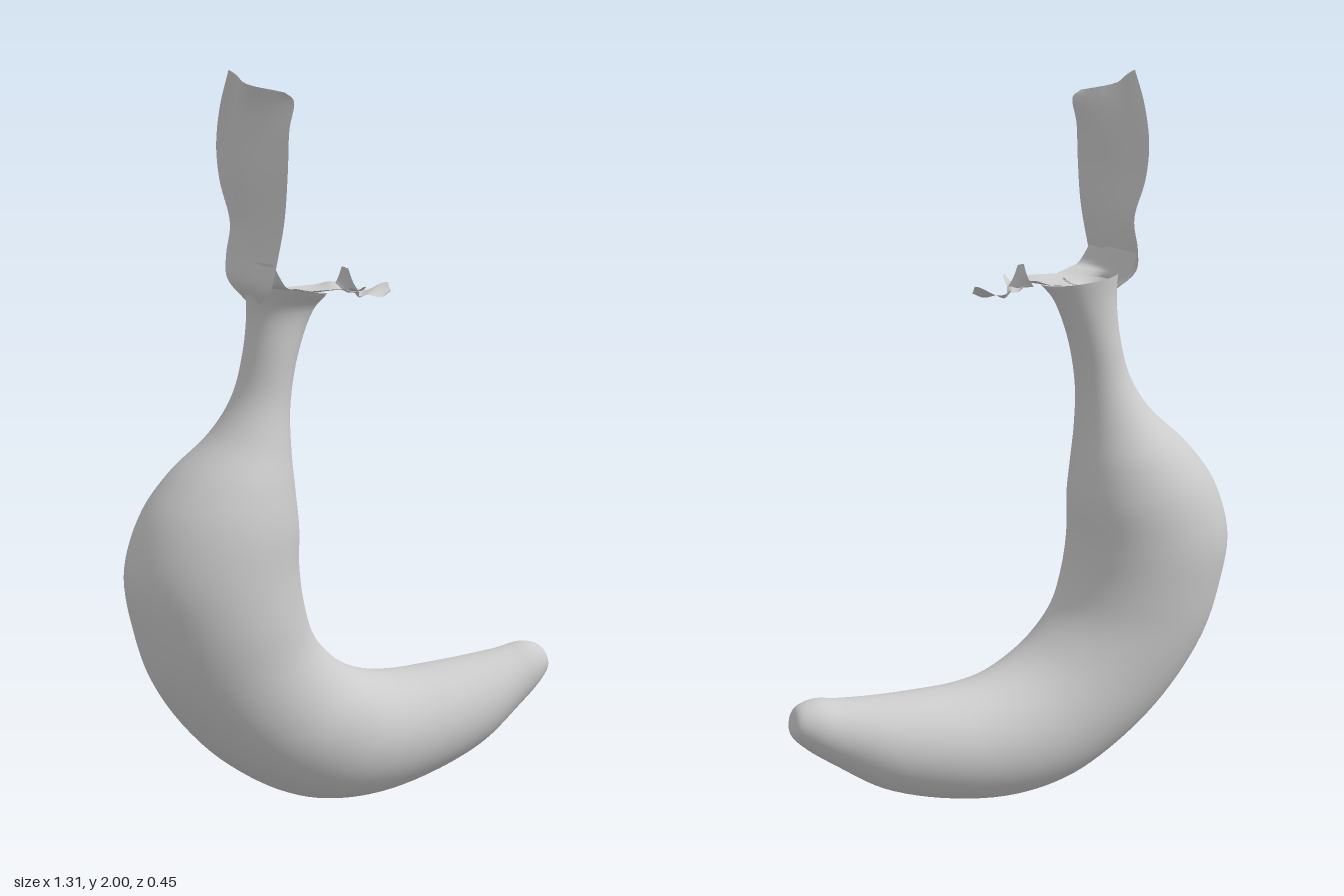
import * as THREE from 'three';

const material = new THREE.MeshStandardMaterial({ color: 0xcccccc });
const sheetMaterial = new THREE.MeshStandardMaterial({ color: 0xcccccc, side: THREE.DoubleSide });
const spline = (points) => new THREE.CatmullRomCurve3(points.map((p) => new THREE.Vector3(...p)));

// Grid of points (u along, v across); closed wraps v.
function grid(name, nu, nv, closed, pointAt, mat) {
  const positions = [], index = [];
  const cols = closed ? nv : nv + 1;
  for (let i = 0; i <= nu; i++) {
    for (let j = 0; j < cols; j++) positions.push(...pointAt(i / nu, j / nv).toArray());
  }
  for (let i = 0; i < nu; i++) {
    for (let j = 0; j < nv; j++) {
      const k = (j + 1) % cols;
      const a = i * cols + j, b = a + cols, c = i * cols + k, d = c + cols;
      index.push(a, b, c, b, d, c);
    }
  }
  const geometry = new THREE.BufferGeometry();
  geometry.setAttribute('position', new THREE.Float32BufferAttribute(positions, 3));
  geometry.setIndex(index);
  geometry.computeVertexNormals();
  const mesh = new THREE.Mesh(geometry, mat);
  mesh.name = name;
  return mesh;
}

// Oval cross-sections: [outer x, outer y, inner x, inner y, back z, front z].
function loft(name, sections, steps, mat) {
  const outer = spline(sections.map((s) => [s[0], s[1], s[5]]));
  const inner = spline(sections.map((s) => [s[2], s[3], s[4]]));
  return grid(name, steps, 48, true, (u, v) => {
    const o = outer.getPoint(u), n = inner.getPoint(u), angle = v * Math.PI * 2;
    const c = Math.cos(angle) / 2, s = Math.sin(angle) / 2;
    return new THREE.Vector3(
      (o.x + n.x) / 2 + (o.x - n.x) * c,
      (o.y + n.y) / 2 + (o.y - n.y) * c,
      (o.z + n.z) / 2 + (o.z - n.z) * s);
  }, mat);
}

// Thin torn skin between two edge paths, bowed and crinkled along y or x.
function sheet(name, edgeA, edgeB, bend, nu = 36, nv = 12) {
  const a = spline(edgeA), b = spline(edgeB);
  return grid(name, nu, nv, false, (u, v) => {
    const p = a.getPoint(u).lerp(b.getPoint(u), v);
    return bend(p, u, v);
  }, sheetMaterial);
}

export function createModel() {
  const model = new THREE.Group();
  model.name = 'peeledFruit';

  // Curved body from the flared neck down to the blunt tip
  model.add(loft('body', [
    [-0.33, 1.46, -0.11, 1.43, -0.055, 0.14],
    [-0.32, 1.39, -0.14, 1.39, -0.05, 0.105],
    [-0.33, 1.28, -0.185, 1.28, -0.05, 0.10],
    [-0.36, 1.17, -0.21, 1.14, -0.06, 0.105],
    [-0.42, 1.075, -0.21, 1.02, -0.10, 0.135],
    [-0.53, 0.97, -0.20, 0.92, -0.165, 0.18],
    [-0.61, 0.86, -0.19, 0.82, -0.205, 0.21],
    [-0.655, 0.71, -0.19, 0.71, -0.22, 0.222],
    [-0.635, 0.56, -0.175, 0.60, -0.215, 0.222],
    [-0.585, 0.41, -0.14, 0.505, -0.205, 0.21],
    [-0.465, 0.24, -0.07, 0.425, -0.195, 0.20],
    [-0.31, 0.11, 0.0, 0.38, -0.19, 0.19],
    [-0.15, 0.03, 0.08, 0.352, -0.187, 0.17],
    [0.03, 0.003, 0.17, 0.34, -0.18, 0.155],
    [0.22, 0.027, 0.28, 0.34, -0.165, 0.14],
    [0.40, 0.085, 0.40, 0.345, -0.135, 0.115],
    [0.53, 0.17, 0.51, 0.355, -0.095, 0.085],
    [0.615, 0.235, 0.58, 0.365, -0.07, 0.065],
    [0.65, 0.275, 0.63, 0.35, -0.04, 0.04],
    [0.648, 0.312, 0.648, 0.312, 0, 0],
  ], 110, material));

  // Sunken mouth inside the collar
  model.add(loft('neckMouth', [
    [-0.25, 1.405, -0.25, 1.405, 0.015, 0.015],
    [-0.295, 1.405, -0.205, 1.405, -0.035, 0.065],
    [-0.305, 1.425, -0.19, 1.42, -0.045, 0.085],
    [-0.33, 1.46, -0.11, 1.43, -0.055, 0.14],
  ], 18, sheetMaterial));

  // Tall skin flap standing on the outer side of the collar
  model.add(sheet('uprightFlap', [
    [-0.31, 1.41, 0.07], [-0.335, 1.46, 0.19], [-0.32, 1.53, 0.195], [-0.31, 1.63, 0.215],
    [-0.305, 1.75, 0.225], [-0.295, 1.85, 0.215], [-0.285, 1.92, 0.22], [-0.30, 1.94, 0.20],
  ], [
    [-0.31, 1.41, 0.0], [-0.335, 1.47, -0.07], [-0.325, 1.53, -0.095], [-0.315, 1.61, -0.09],
    [-0.325, 1.72, -0.13], [-0.33, 1.81, -0.137], [-0.335, 1.91, -0.10], [-0.337, 2.0, -0.04],
  ], (p, u, v) => {
    p.x += 0.016 * Math.sin(v * 7 + 0.4) * Math.sin(Math.PI * v) * u;
    p.y -= 0.012 * Math.sin(Math.PI * v) * u * u;
    return p;
  }));

  // Rolled lip where the flap leaves the collar
  model.add(sheet('flapLip', [
    [-0.325, 1.52, 0.18], [-0.30, 1.465, 0.20], [-0.25, 1.455, 0.165], [-0.2, 1.445, 0.14],
  ], [
    [-0.325, 1.52, -0.09], [-0.315, 1.47, -0.08], [-0.31, 1.445, -0.05], [-0.30, 1.43, -0.03],
  ], (p, u, v) => {
    p.x -= 0.05 * u * u * Math.sin(Math.PI * v);
    return p;
  }, 12, 12));

  // Ragged strip lying out over the inner side
  model.add(sheet('raggedStrip', [
    [-0.21, 1.435, -0.048], [-0.15, 1.44, -0.053], [-0.09, 1.445, -0.05], [-0.05, 1.45, -0.01],
    [-0.02, 1.43, -0.005], [0.01, 1.425, -0.01], [0.04, 1.43, -0.05], [0.07, 1.43, -0.025],
    [0.11, 1.44, 0.0],
  ], [
    [-0.22, 1.445, 0.14], [-0.15, 1.445, 0.135], [-0.09, 1.445, 0.13], [-0.05, 1.44, 0.075],
    [-0.015, 1.43, 0.06], [0.01, 1.415, 0.025], [0.04, 1.41, 0.022], [0.07, 1.415, 0.035],
    [0.105, 1.425, 0.04],
  ], (p, u, v) => {
    // Dips into the mouth at its root, crinkles outward
    p.y += 0.007 * Math.sin(u * 21 + v * 5) * u - 0.012 * (1 - u) * Math.sin(Math.PI * v);
    p.x += u < 0.01 ? 0.05 * Math.sin(Math.PI * v) : 0;
    return p;
  }, 40, 8));

  // Small curled shreds at the narrow part of the strip
  model.add(sheet('tornShred', [
    [-0.06, 1.435, 0.06], [-0.045, 1.435, 0.10], [-0.042, 1.45, 0.14],
  ], [
    [-0.01, 1.43, 0.05], [-0.02, 1.435, 0.09], [-0.036, 1.45, 0.142],
  ], (p) => p, 8, 3));
  model.add(sheet('curledShred', [
    [-0.06, 1.435, -0.005], [-0.045, 1.46, 0.0], [-0.042, 1.495, 0.02],
  ], [
    [-0.01, 1.425, 0.06], [-0.025, 1.455, 0.05], [-0.034, 1.49, 0.04],
  ], (p) => p, 8, 4));

  return model;
}
